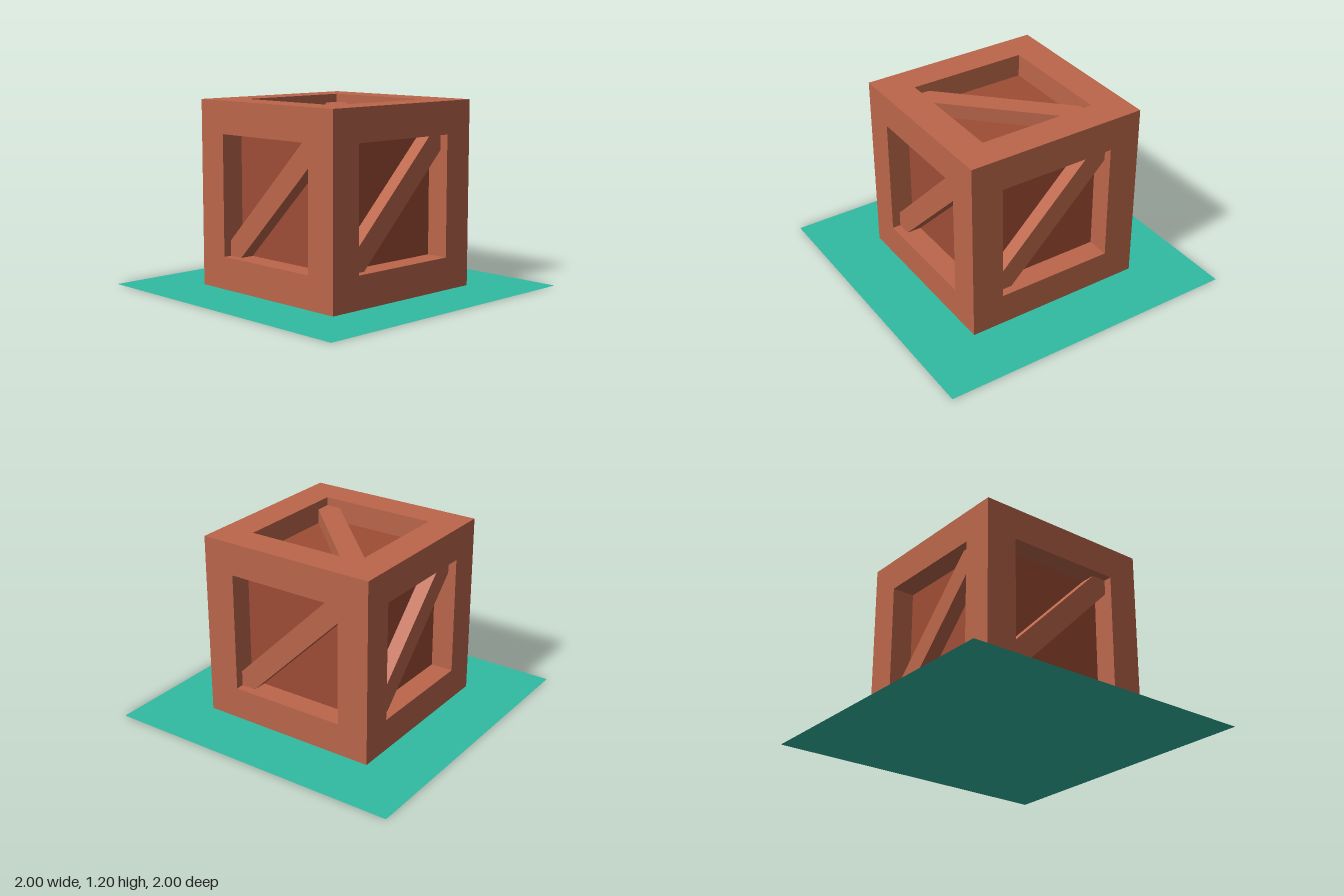
import * as THREE from 'three';

const HALF = 0.6;      // half the crate's side
const BEAM = 0.21;     // width of the frame beams
const PANEL = 0.45;    // distance of the recessed panels from the centre
const BRACE = 0.545;   // distance of the brace fronts from the centre

export function createModel() {
  const model = new THREE.Group();
  const frameMat = new THREE.MeshStandardMaterial({ color: 0xbb664a });
  const panelMat = new THREE.MeshStandardMaterial({ color: 0x9e4d35 });
  const groundMat = new THREE.MeshStandardMaterial({ color: 0x32bca3, side: THREE.DoubleSide });

  const add = (parent, name, geometry, material) => {
    const mesh = new THREE.Mesh(geometry, material);
    mesh.name = name;
    parent.add(mesh);
    return mesh;
  };

  // Flat square under the crate
  add(model, 'groundSheet', new THREE.PlaneGeometry(2, 2).rotateX(-Math.PI / 2), groundMat);

  // Crate, lifted a hair off the sheet
  const crate = new THREE.Group();
  crate.name = 'crate';
  crate.position.y = HALF + 0.001;
  model.add(crate);

  // Inner box whose sides are the recessed panels
  add(crate, 'panels', new THREE.BoxGeometry(2 * PANEL, 2 * PANEL, 2 * PANEL), panelMat);

  // Twelve frame beams: full-height posts, rails between them
  const c = HALF - BEAM / 2;
  const inner = 2 * (HALF - BEAM);
  for (const a of [-c, c]) {
    for (const b of [-c, c]) {
      add(crate, 'cornerPost', new THREE.BoxGeometry(BEAM, 2 * HALF, BEAM), frameMat).position.set(a, 0, b);
      add(crate, 'crossRail', new THREE.BoxGeometry(inner, BEAM, BEAM), frameMat).position.set(0, a, b);
      add(crate, 'sideRail', new THREE.BoxGeometry(BEAM, BEAM, inner), frameMat).position.set(a, b, 0);
    }
  }

  // Diagonal brace, cut to fit the square opening
  const h = inner / 2, k = h - 0.1;
  const outline = new THREE.Shape([
    [-h, -h], [-k, -h], [h, k], [h, h], [k, h], [-h, -k],
  ].map(([x, y]) => new THREE.Vector2(x, y)));
  const brace = new THREE.ExtrudeGeometry(outline, { depth: BRACE - PANEL, bevelEnabled: false });
  brace.translate(0, 0, PANEL);

  // One brace on each of the six sides
  const q = Math.PI / 2;
  const sides = {
    front: [0, 0], left: [0, q], back: [0, 2 * q], right: [0, -q], top: [-q, 0], bottom: [q, 0],
  };
  for (const [side, [rx, ry]] of Object.entries(sides)) {
    add(crate, side + 'Brace', brace, frameMat).rotation.set(rx, ry, 0);
  }
  return model;
}
